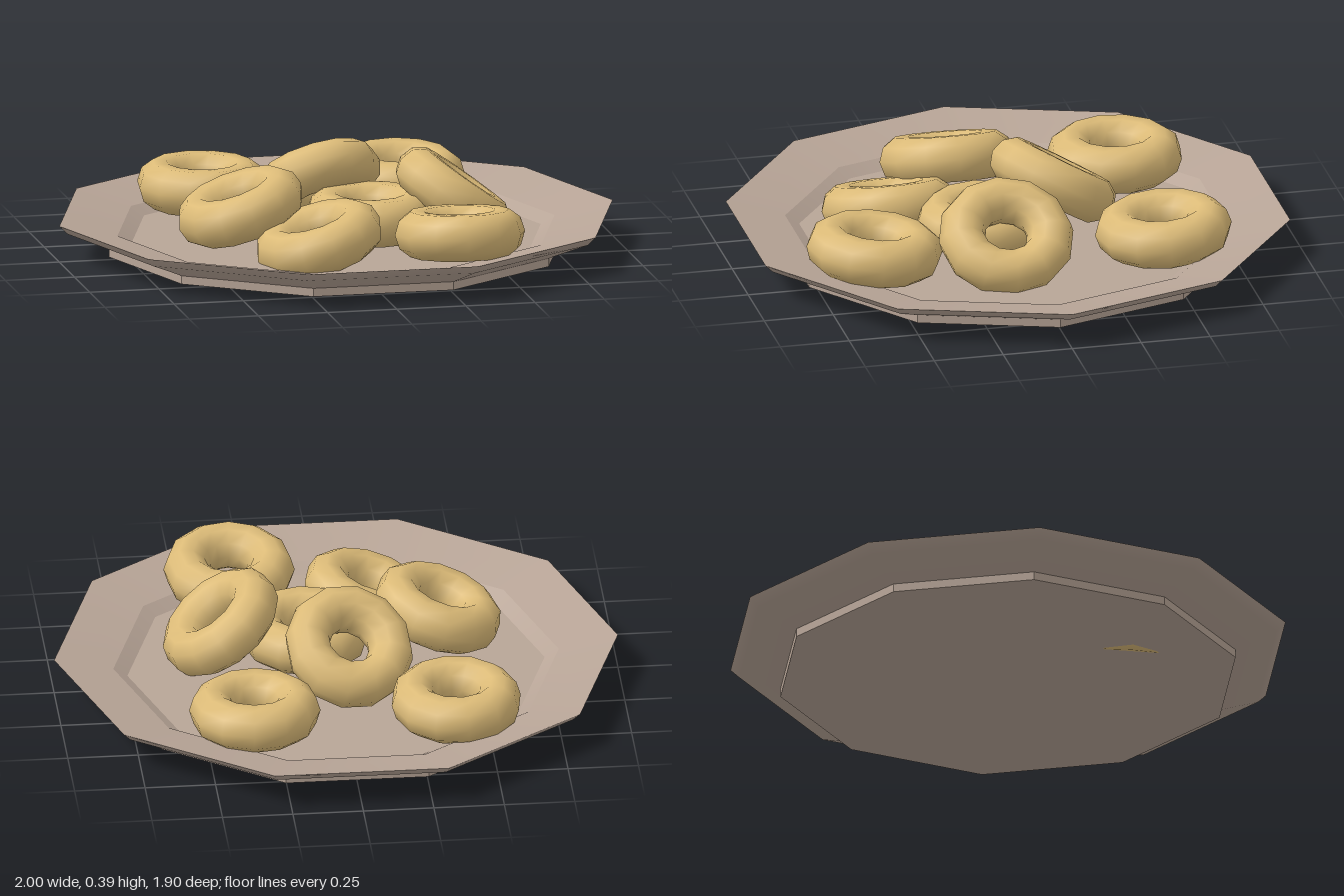
import * as THREE from 'three';
import { toCreasedNormals } from 'three/addons/utils/BufferGeometryUtils.js';

const SIDES = 10;

export function createModel() {
  const model = new THREE.Group();
  const plateMat = new THREE.MeshStandardMaterial({ color: 0xb8a597, side: THREE.DoubleSide });
  const ringMat = new THREE.MeshStandardMaterial({ color: 0xdcbb78 });

  const add = (parent, name, geometry, material) => {
    const mesh = new THREE.Mesh(geometry, material);
    mesh.name = name;
    parent.add(mesh);
    return mesh;
  };
  // ten-sided ring from [radius, height] points, with a corner on the x axis
  const turned = (points) => new THREE.LatheGeometry(
    points.map(([r, y]) => new THREE.Vector2(r, y)), SIDES, Math.PI / 2);

  // Plate: foot, sloping underside, rim, recess wall and floor
  const plate = new THREE.Group();
  plate.name = 'plate';
  model.add(plate);
  const foot = new THREE.CylinderGeometry(0.82, 0.82, 0.03, SIDES, 1, false, Math.PI / 2);
  add(plate, 'foot', toCreasedNormals(foot, 0.3), plateMat).position.y = 0.025;
  add(plate, 'underside', turned([[0.8, 0.04], [0.82, 0.04], [0.97, 0.1], [1, 0.13]]), plateMat);
  add(plate, 'rim', turned([[1, 0.13], [0.79, 0.085]].reverse()), plateMat);
  add(plate, 'recessWall', turned([[0.74, 0.055], [0.79, 0.085]]), plateMat);
  add(plate, 'floor', turned([[0, 0.055], [0.74, 0.055]]), plateMat);

  // Ring doughnuts: slightly oval, lying on the floor and on each other
  const ring = new THREE.TorusGeometry(0.152, 0.08, 10, 12);
  ring.rotateX(Math.PI / 2);
  ring.scale(1, 1.06, 1.05);
  // x, y, z, then tilt about x, turn about y, tilt about z
  const places = [
    [-0.38, 0.15, -0.475, 0, 0.1, 0],
    [0.335, 0.15, -0.485, 0.06, -0.1, 0],
    [-0.03, 0.22, -0.17, -0.5, -0.15, 0.2],
    [0.4, 0.2, 0.1, 0, 0, -0.63],
    [0.1, 0.145, 0.11, 0, 0, 0],
    [-0.375, 0.2, 0.135, 0, 0, 0.33],
    [-0.15, 0.13, 0.4, 0, 0.05, 0.3],
    [0.325, 0.165, 0.56, -0.1, -0.08, 0],
  ];
  places.forEach(([x, y, z, rx, ry, rz], i) => {
    const mesh = add(model, `doughnut${i + 1}`, ring, ringMat);
    mesh.position.set(x, y, z);
    mesh.rotation.set(rx, ry, rz);
  });

  return model;
}
